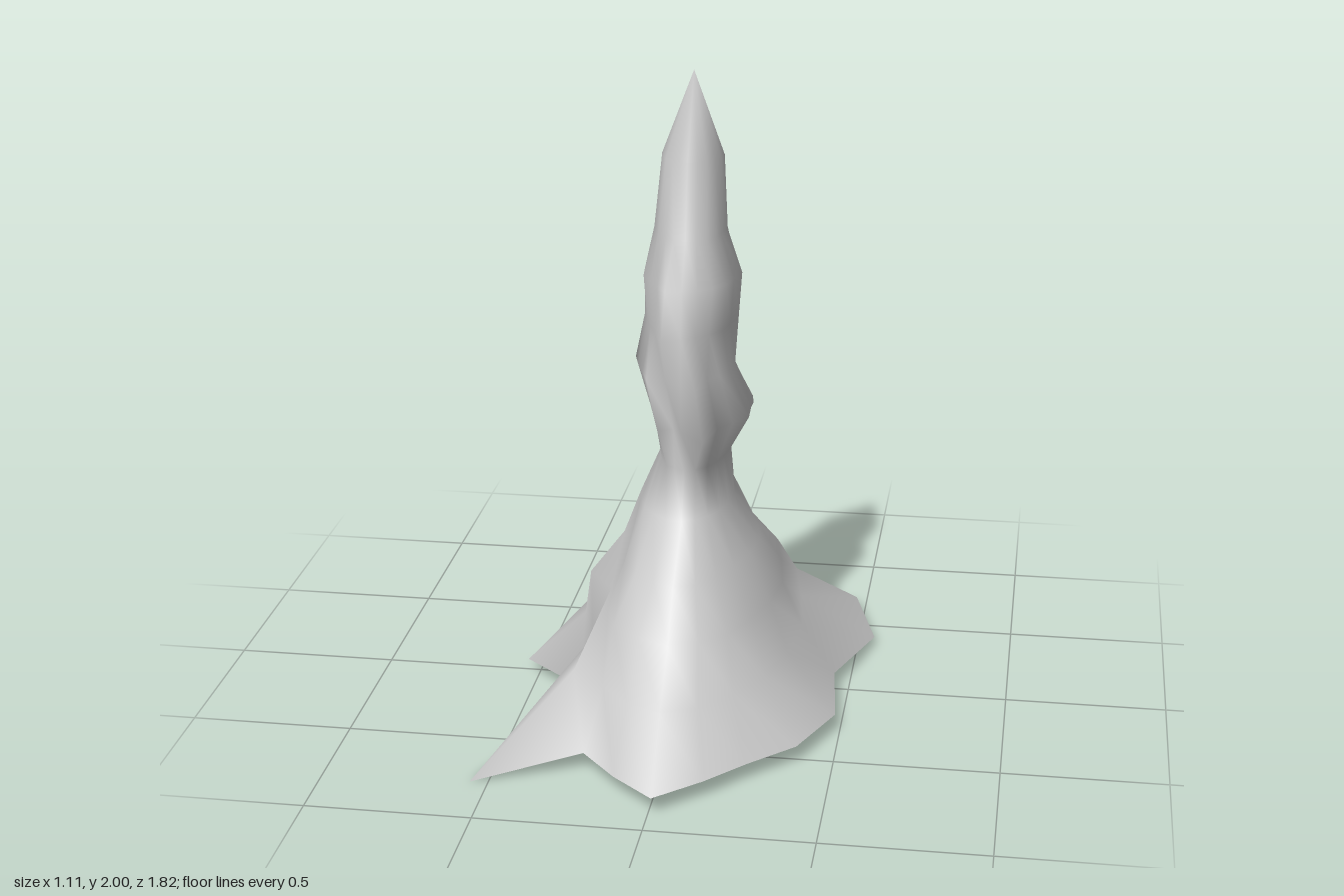
import * as THREE from 'three';

const SIDES = 20;

// Jagged foot outline as [x, z], starting at the back and running towards +x
const foot = [
  [0.01, -0.9], [0.15, -0.84], [0.27, -0.7], [0.47, -0.65], [0.555, -0.345],
  [0.455, 0], [0.485, 0.295], [0.39, 0.525], [0.255, 0.66], [0.145, 0.785],
  [0.01, 0.91], [-0.12, 0.795], [-0.235, 0.66], [-0.555, 0.785], [-0.33, 0.215],
  [-0.54, 0], [-0.405, -0.255], [-0.405, -0.58], [-0.33, -0.91], [-0.105, -0.705],
];
// Foot points that droop below the usual rim height
const RIM = 0.055;
const droop = { 3: 0.035, 4: 0.03, 13: 0, 15: 0.035, 18: 0.028 };

// Rings above the foot: y, reach to -x, +x, -z, +z, and knobs as { side: scale }
const rings = [
  [0.215, 0.35, 0.35, 0.77, 0.68, { 13: 1.08, 14: 0.88 }],
  [0.36, 0.33, 0.285, 0.6, 0.525, { 13: 0.85, 14: 0.77 }],
  [0.505, 0.22, 0.21, 0.37, 0.42, { 14: 0.85 }],
  [0.65, 0.165, 0.13, 0.3, 0.25, {}],
  [0.8, 0.1, 0.115, 0.25, 0.21, {}],
  [0.94, 0.1, 0.18, 0.16, 0.26, { 3: 1.18, 4: 1.06, 6: 1.08, 9: 1.38, 12: 1.22, 13: 1.12 }],
  [1.09, 0.18, 0.13, 0.145, 0.26, { 4: 0.88, 9: 1.24, 12: 1.05 }],
  [1.235, 0.15, 0.14, 0.15, 0.26, { 3: 0.9, 4: 0.85, 11: 1.18, 18: 1.33 }],
  [1.375, 0.15, 0.15, 0.19, 0.24, { 1: 1.06, 3: 0.85, 4: 0.88, 11: 1.08, 17: 0.82 }],
  [1.51, 0.12, 0.105, 0.145, 0.165, {}],
  [1.74, 0.095, 0.095, 0.085, 0.12, {}],
];

function seeded(seed) {
  return () => {
    seed = (seed * 16807) % 2147483647;
    return seed / 2147483647;
  };
}

function geometry(positions, index) {
  const g = new THREE.BufferGeometry();
  g.setAttribute('position', new THREE.Float32BufferAttribute(positions, 3));
  g.setIndex(index);
  g.computeVertexNormals();
  return g;
}

export function createModel() {
  const group = new THREE.Group();
  group.name = 'rockSpire';
  const material = new THREE.MeshStandardMaterial({ color: 0xcccccc, side: THREE.DoubleSide });
  const random = seeded(4217);

  // Spire skin: the foot outline, then rough oval rings, then the tip
  const rim = foot.flatMap(([x, z], i) => [x, droop[i] ?? RIM, z]);
  const points = [...rim];
  for (const [y, left, right, back, front, knobs] of rings) {
    const rough = y < 0.9 ? 0.05 : 0.09;
    const crested = y < 0.4 || y > 1.3;
    for (let i = 0; i < SIDES; i++) {
      const a = (i / SIDES) * Math.PI * 2;
      const s = Math.sin(a), c = -Math.cos(a);
      // The flanks beside the back ridge are hollowed
      const dent = i % 5 === 0 ? 0 : crested && c < -0.6 ? 0.13 : rough * random();
      const r = knobs[i] ?? 1 - dent;
      points.push(s * r * (s < 0 ? left : right), y, c * r * (c < 0 ? back : front));
    }
  }
  const tip = points.length / 3;
  points.push(0.005, 2, 0.02);

  const faces = [];
  for (let k = 0; k <= rings.length; k++) {
    for (let i = 0; i < SIDES; i++) {
      const j = (i + 1) % SIDES;
      const a = k * SIDES + i, b = k * SIDES + j;
      if (k === rings.length) faces.push(a, tip, b);
      else faces.push(a, a + SIDES, b + SIDES, a, b + SIDES, b);
    }
  }
  const spire = new THREE.Mesh(geometry(points, faces), material);
  spire.name = 'spire';

  // Underside: a fan closing the foot
  const fan = [];
  for (let i = 0; i < SIDES; i++) fan.push(SIDES, i, (i + 1) % SIDES);
  const underside = new THREE.Mesh(geometry([...rim, 0, RIM, 0], fan), material);
  underside.name = 'underside';

  group.add(spire, underside);
  return group;
}
